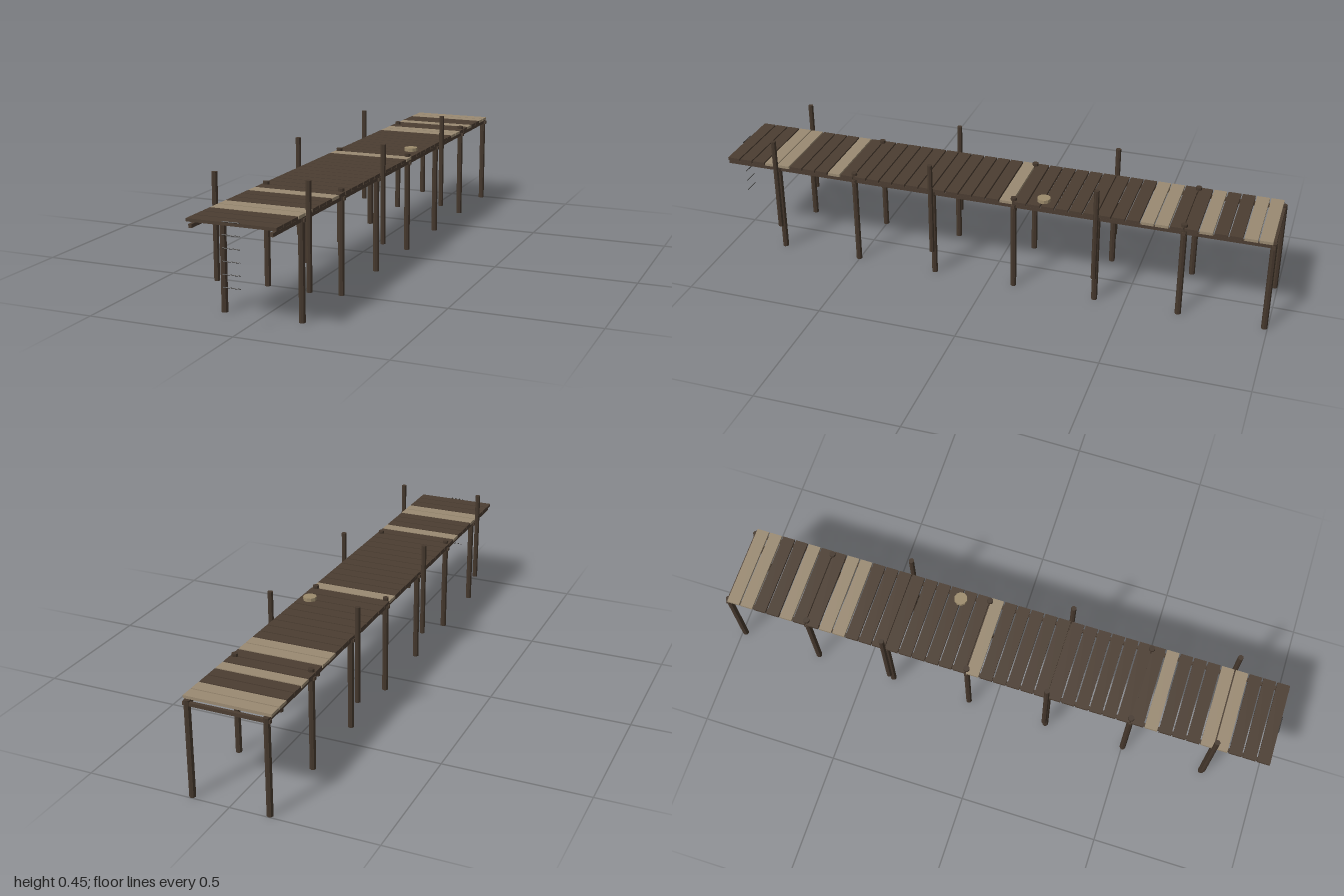
import * as THREE from 'three';

export function createModel() {
  const group = new THREE.Group();
  group.name = 'pier';

  const material = (name, color, flatShading = false) => {
    const m = new THREE.MeshStandardMaterial({ color, flatShading });
    m.name = name;
    return m;
  };
  const darkWood = material('dark wood', 0x4b3d31);
  const paleWood = material('weathered wood', 0x9a8a72);
  const pileWood = material('pile wood', 0x45382d, true);
  const iron = material('iron', 0x3a3836, true);
  const rope = material('rope', 0x9c8b6c, true);

  const add = (name, geometry, mat, x, y, z) => {
    const mesh = new THREE.Mesh(geometry, mat);
    mesh.name = name;
    mesh.position.set(x, y, z);
    group.add(mesh);
    return mesh;
  };
  // Upright round timber between two heights
  const upright = (name, r, y0, y1, x, z) =>
    add(name, new THREE.CylinderGeometry(r, r, y1 - y0, 8), pileWood, x, (y0 + y1) / 2, z);

  const back = -0.989;
  const pitch = 1.989 / 40;

  // Deck planks, a few of them replaced with paler boards
  const paleBoards = new Set([0, 1, 4, 7, 8, 18, 31, 35, 36]);
  const plank = new THREE.BoxGeometry(0.298, 0.01, pitch - 0.005);
  for (let i = 0; i < 40; i++) {
    add('plank', plank, paleBoards.has(i) ? paleWood : darkWood, 0, 0.343, back + (i + 0.5) * pitch);
  }

  // Long stringers under both edges of the deck
  for (const side of [-1, 1]) {
    add('stringer', new THREE.BoxGeometry(0.011, 0.012, 1.989), darkWood, side * 0.134, 0.326, back + 1.989 / 2);
  }

  // Bents: two piles and a crossbeam, with tall mooring posts on every second one
  const crossbeam = new THREE.BoxGeometry(0.296, 0.012, 0.012);
  for (let i = 0; i < 7; i++) {
    const z = back + i * 6 * pitch;
    add('crossbeam', crossbeam, darkWood, 0, 0.325, z);
    for (const side of [-1, 1]) {
      upright('pile', 0.011, 0, i % 2 ? 0.358 : 0.337, side * 0.134, z);
      if (i > 0 && i % 2 === 0) upright('mooringPost', 0.0095, 0.1, 0.448, side * 0.159, z);
    }
  }

  // Ladder rungs at the front end
  const rung = new THREE.CylinderGeometry(0.0016, 0.0016, 0.058, 6).rotateZ(Math.PI / 2);
  for (let i = 0; i < 6; i++) add('ladderRung', rung, iron, 0, 0.15 + i * 0.04, 0.998);

  // Coil of rope lying on the deck
  add('ropeCoil', new THREE.CylinderGeometry(0.0237, 0.0237, 0.0125, 10), rope, 0.109, 0.3542, -0.195);

  return group;
}
